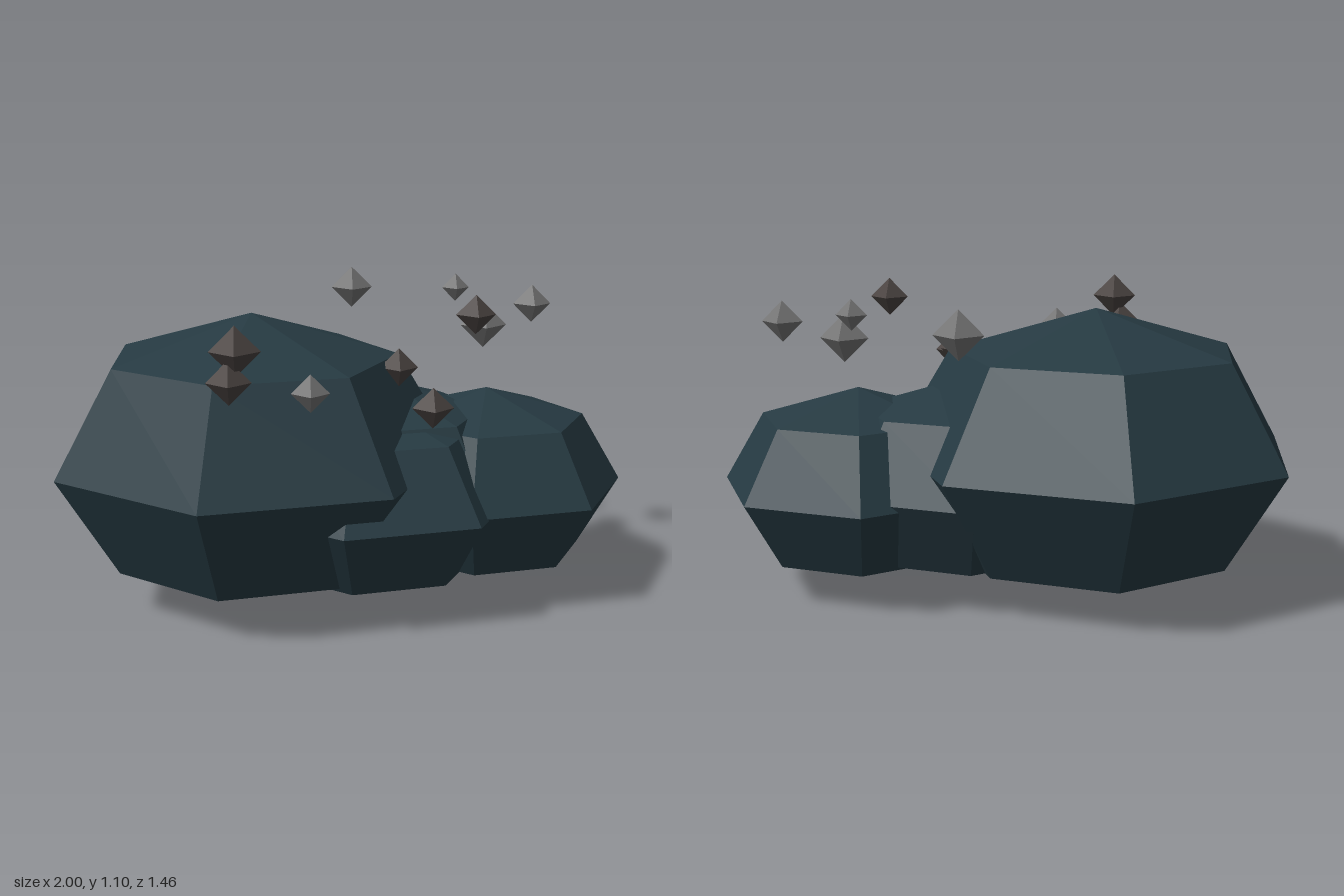
import * as THREE from 'three';

const material = (name, color) => {
  const m = new THREE.MeshStandardMaterial({ color, flatShading: true });
  m.name = name;
  return m;
};

export function createModel() {
  const group = new THREE.Group();
  const cloudColour = material('dark slate', 0x263a42);
  const paleColour = material('grey stone', 0x757575);
  const darkColour = material('dark stone', 0x4a4341);

  // Cloud: overlapping squashed seven-sided spheres, a corner towards +x
  const puffs = [
    // name, x, y, z, horizontal radius, vertical radius
    ['largePuff', -0.34, 0.513, 0.014, 0.73, 0.51],
    ['rightPuff', 0.5, 0.388, -0.05, 0.5, 0.347],
    ['frontPuff', 0.075, 0.382, 0.075, 0.54, 0.346],
    ['middlePuff', 0.13, 0.41, -0.025, 0.51, 0.362],
  ];
  for (const [name, x, y, z, r, h] of puffs) {
    const geometry = new THREE.SphereGeometry(1, 7, 4).rotateY(Math.PI).scale(r, h, r);
    const puff = new THREE.Mesh(geometry, cloudColour);
    puff.name = name;
    puff.position.set(x, y, z);
    group.add(puff);
  }

  // Floating debris: eight-sided stones above the cloud
  const stones = [
    // x, y, z, radius, colour
    [-0.38, 1.0, 0.61, 0.081, darkColour],
    [-0.4, 0.905, 0.62, 0.072, darkColour],
    [0.425, 1.035, 0.165, 0.068, darkColour],
    [0.165, 0.85, 0.143, 0.067, darkColour],
    [0.245, 0.79, 0.5, 0.067, darkColour],
    [-0.15, 0.88, 0.67, 0.06, paleColour],
    [0.045, 1.015, -0.65, 0.08, paleColour],
    [0.508, 0.935, -0.21, 0.084, paleColour],
    [0.7, 1.0, -0.29, 0.07, paleColour],
    [0.43, 1.043, -0.427, 0.052, paleColour],
  ];
  stones.forEach(([x, y, z, r, colour], i) => {
    const stone = new THREE.Mesh(new THREE.OctahedronGeometry(r), colour);
    stone.name = `floatingStone${i + 1}`;
    stone.position.set(x, y, z);
    group.add(stone);
  });

  return group;
}
